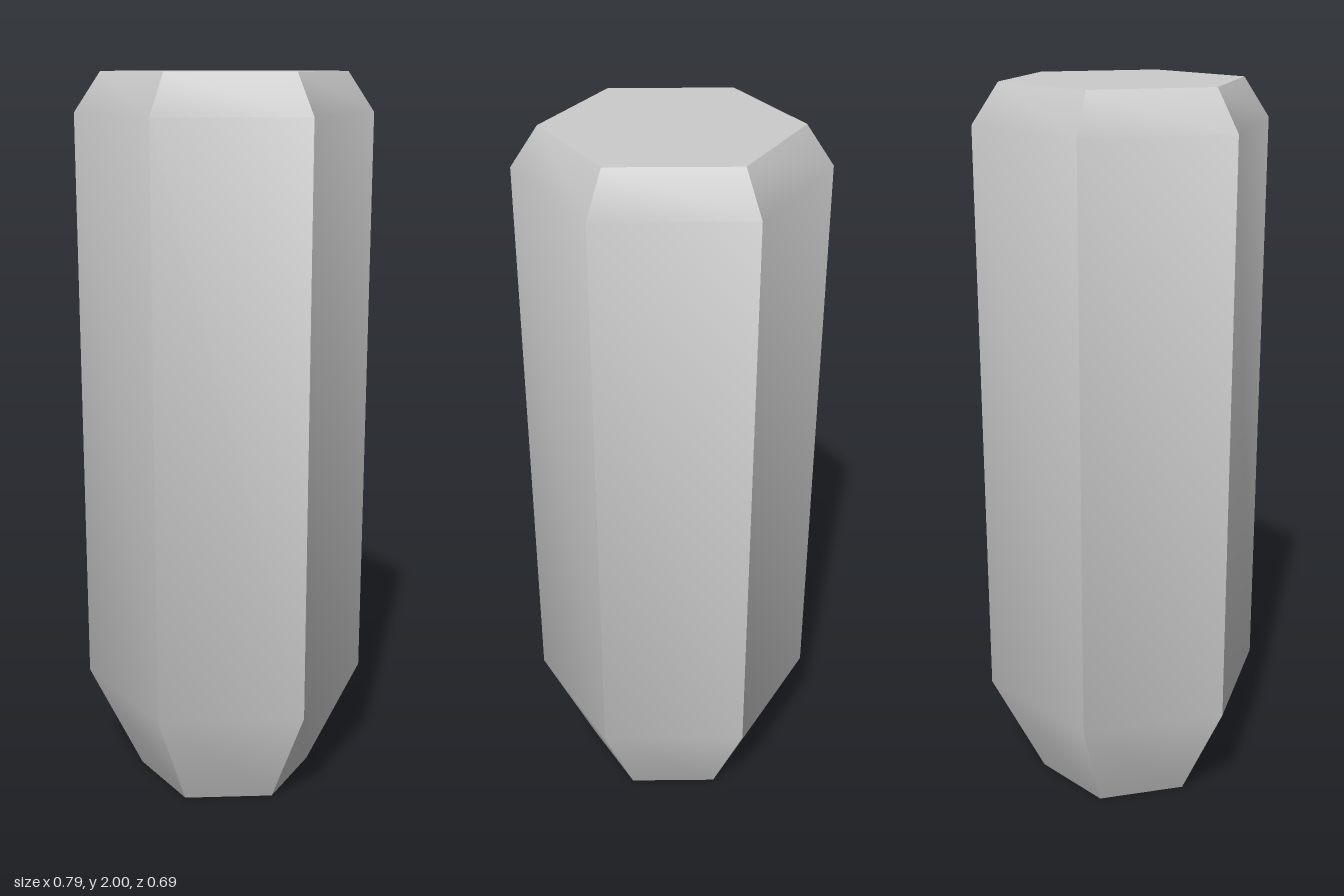
import * as THREE from 'three';
import { toCreasedNormals } from 'three/addons/utils/BufferGeometryUtils.js';

const SIDES = 6;

// Radius and height of each ring, from the base up; ends close on the axis
const PROFILE = [
  [0, 0],
  [0.247, 0],
  [0.396, 0.305],
  [0.396, 1.895],
  [0.325, 2],
  [0, 2],
];

export function createModel() {
  const group = new THREE.Group();
  group.name = 'hexagonalCrystal';

  // Six-sided prism with a tapered base and bevelled top, corners on the x axis
  const points = PROFILE.map(([r, y]) => new THREE.Vector2(r, y));
  const lathe = new THREE.LatheGeometry(points, SIDES, Math.PI / 2);

  // Soft along the length, sharp between the sides and around the caps
  const geometry = toCreasedNormals(lathe, THREE.MathUtils.degToRad(40));

  const body = new THREE.Mesh(geometry, new THREE.MeshStandardMaterial({ color: 0xcccccc }));
  body.name = 'crystalBody';
  group.add(body);
  return group;
}
